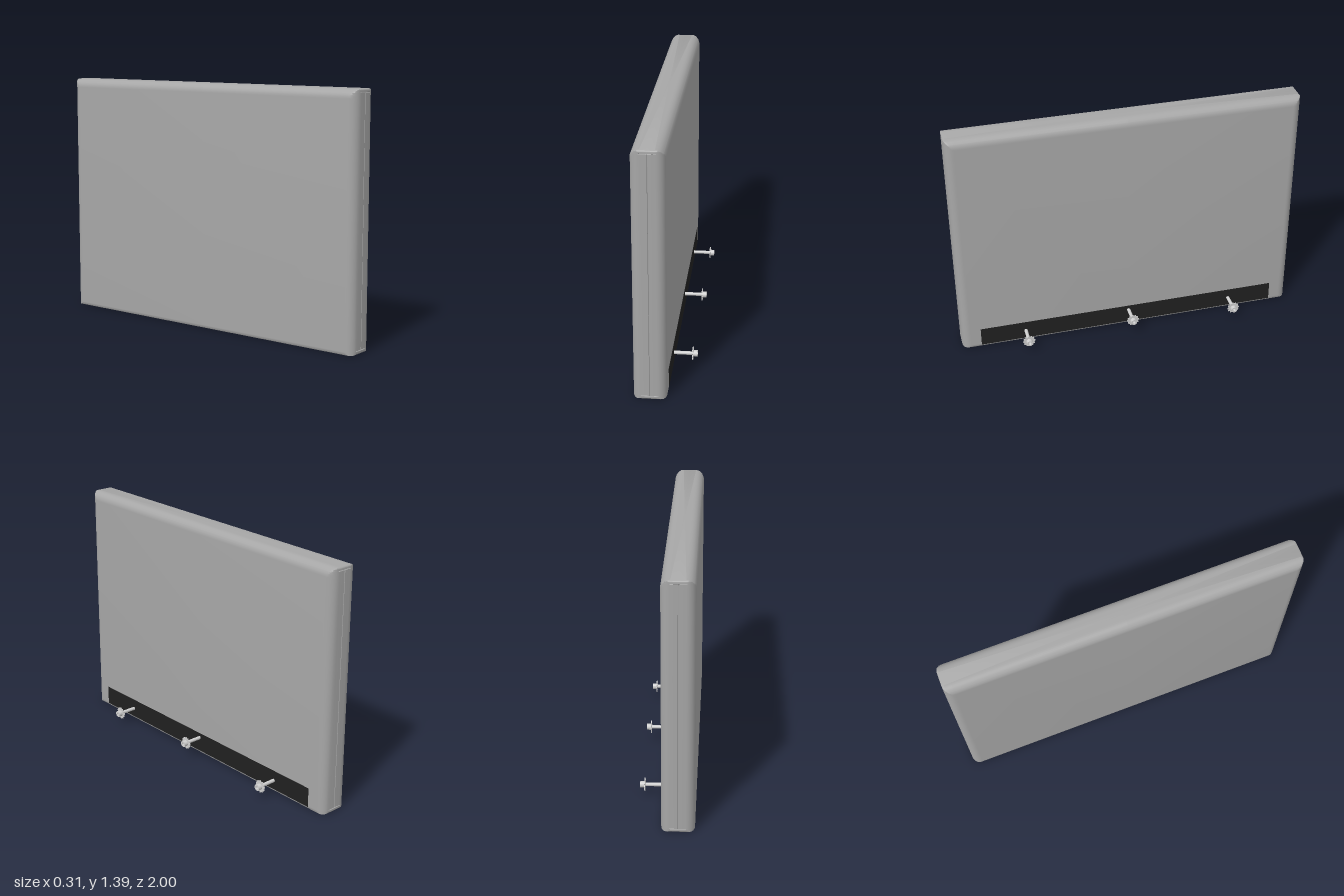
import * as THREE from 'three';
import { toCreasedNormals } from 'three/addons/utils/BufferGeometryUtils.js';

const HX = 0.0885, HZ = 1, H = 1.39, R = 0.05, CX = -0.0655;

// Padded panel: horizontal sections stacked upward, with mitred rounding at the top
function panelGeometry() {
  // quarter outline from the side face to the seam in the end face
  const quarter = [[HX, 0]];
  for (let i = 0; i <= 8; i++) {
    const a = (i / 8) * Math.PI / 2;
    quarter.push([HX - R + R * Math.cos(a), HZ - R + R * Math.sin(a)]);
  }
  quarter.push([0.002, HZ]);
  const half = [...quarter, [0, HZ], ...quarter.slice().reverse().map(([x, z]) => [-x, z])];
  const outline = [...half, ...half.slice(1, -1).reverse().map(([x, z]) => [x, -z])];

  // levels: height, half width, end inset, seam depth, cross-seam depth
  const levels = [];
  const add = (y, w, inset = 0, seam = 0, cross = 0) => levels.push({ y, w, inset, seam, cross });
  for (let i = 0; i <= 4; i++) {
    const a = (i / 4) * Math.PI / 2, k = 0.01 * (1 - Math.sin(a));
    add(0.01 * (1 - Math.cos(a)), HX - k, k);
  }
  add(0.018, HX); add(0.02, HX, 0, 0.004, 0.004); add(0.022, HX, 0, 0.004);
  add(H - R, HX, 0, 0.004);
  const arc = (y) => HX - R + Math.sqrt(Math.max(0, R * R - (y - H + R) ** 2));
  for (const y of [1.35, 1.36, 1.368]) add(y, arc(y), 0, 0.004);
  add(1.37, arc(1.37), 0, 0.004, 0.004);
  add(1.372, arc(1.372));
  for (let i = 0; i <= 4; i++) {
    const a = (i / 4) * Math.PI / 2, y = H - 0.01 * (1 - Math.sin(a));
    add(y, arc(y), 0.01 * (1 - Math.cos(a)));
  }

  const pos = [], index = [], n = outline.length;
  for (const l of levels) {
    for (const [x, z] of outline) {
      const cut = x === 0 ? l.seam : Math.abs(x) < 0.055 ? l.cross : 0;
      const limit = HZ - l.inset - (Math.abs(z) === HZ ? cut : 0);
      pos.push(THREE.MathUtils.clamp(x, -l.w, l.w), l.y, THREE.MathUtils.clamp(z, -limit, limit));
    }
  }
  for (let j = 0; j < levels.length - 1; j++) {
    for (let i = 0; i < n; i++) {
      const a = j * n + i, b = j * n + (i + 1) % n;
      index.push(a, a + n, b + n, a, b + n, b);
    }
  }
  // bottom and top caps
  const bottom = pos.length / 3, top = bottom + 1, last = (levels.length - 1) * n;
  pos.push(0, 0, 0, 0, H, 0);
  for (let i = 0; i < n; i++) {
    const k = (i + 1) % n;
    index.push(bottom, i, k, top, last + k, last + i);
  }
  const g = new THREE.BufferGeometry();
  g.setAttribute('position', new THREE.Float32BufferAttribute(pos, 3));
  g.setIndex(index);
  return toCreasedNormals(g, 0.6);
}

// Bolt pointing along +x from the panel face
function makeBolt(metal) {
  const bolt = new THREE.Group();
  const addPart = (name, geo, x) => {
    const m = new THREE.Mesh(geo, metal);
    m.name = name;
    m.position.x = x;
    bolt.add(m);
  };
  const shaft = new THREE.CylinderGeometry(0.01, 0.01, 0.112, 20).rotateZ(-Math.PI / 2);
  addPart('boltShaft', shaft, 0.072);

  // toothed washer
  const teeth = [];
  for (let i = 0; i < 48; i++) {
    const a = (i / 48) * Math.PI * 2, r = i % 4 < 2 ? 0.036 : 0.031;
    teeth.push(new THREE.Vector2(r * Math.cos(a), r * Math.sin(a)));
  }
  const washer = new THREE.ExtrudeGeometry(new THREE.Shape(teeth), { depth: 0.005, bevelEnabled: false });
  addPart('toothedWasher', washer.rotateY(Math.PI / 2), 0.125);

  // round head with a socket
  const ring = new THREE.Shape().absarc(0, 0, 0.018, 0, Math.PI * 2);
  ring.holes.push(new THREE.Path().absarc(0, 0, 0.009, 0, Math.PI * 2, true));
  const head = new THREE.ExtrudeGeometry(ring, { depth: 0.023, bevelEnabled: false, curveSegments: 12 });
  addPart('boltHead', head.rotateY(Math.PI / 2), 0.13);
  return bolt;
}

export function createModel() {
  const fabric = new THREE.MeshStandardMaterial({ color: 0xa6a6a6 });
  fabric.name = 'grey fabric';
  const black = new THREE.MeshStandardMaterial({ color: 0x202020 });
  black.name = 'black strip';
  const metal = new THREE.MeshStandardMaterial({ color: 0xcfcfcf });
  metal.name = 'light metal';

  const model = new THREE.Group();
  model.name = 'headboard';

  const panel = new THREE.Mesh(panelGeometry(), fabric);
  panel.name = 'paddedPanel';
  panel.position.x = CX;
  model.add(panel);

  // mounting strip along the lower edge
  const strip = new THREE.Mesh(new THREE.BoxGeometry(0.004, 0.113, 1.78), black);
  strip.name = 'mountingStrip';
  strip.position.set(0.0225, 0.0685, 0);
  model.add(strip);

  // three mounting bolts
  for (const [y, z] of [[0.066, 0.625], [0.096, 0], [0.066, -0.625]]) {
    const bolt = makeBolt(metal);
    bolt.name = 'mountingBolt';
    bolt.position.set(0, y, z);
    model.add(bolt);
  }
  return model;
}
